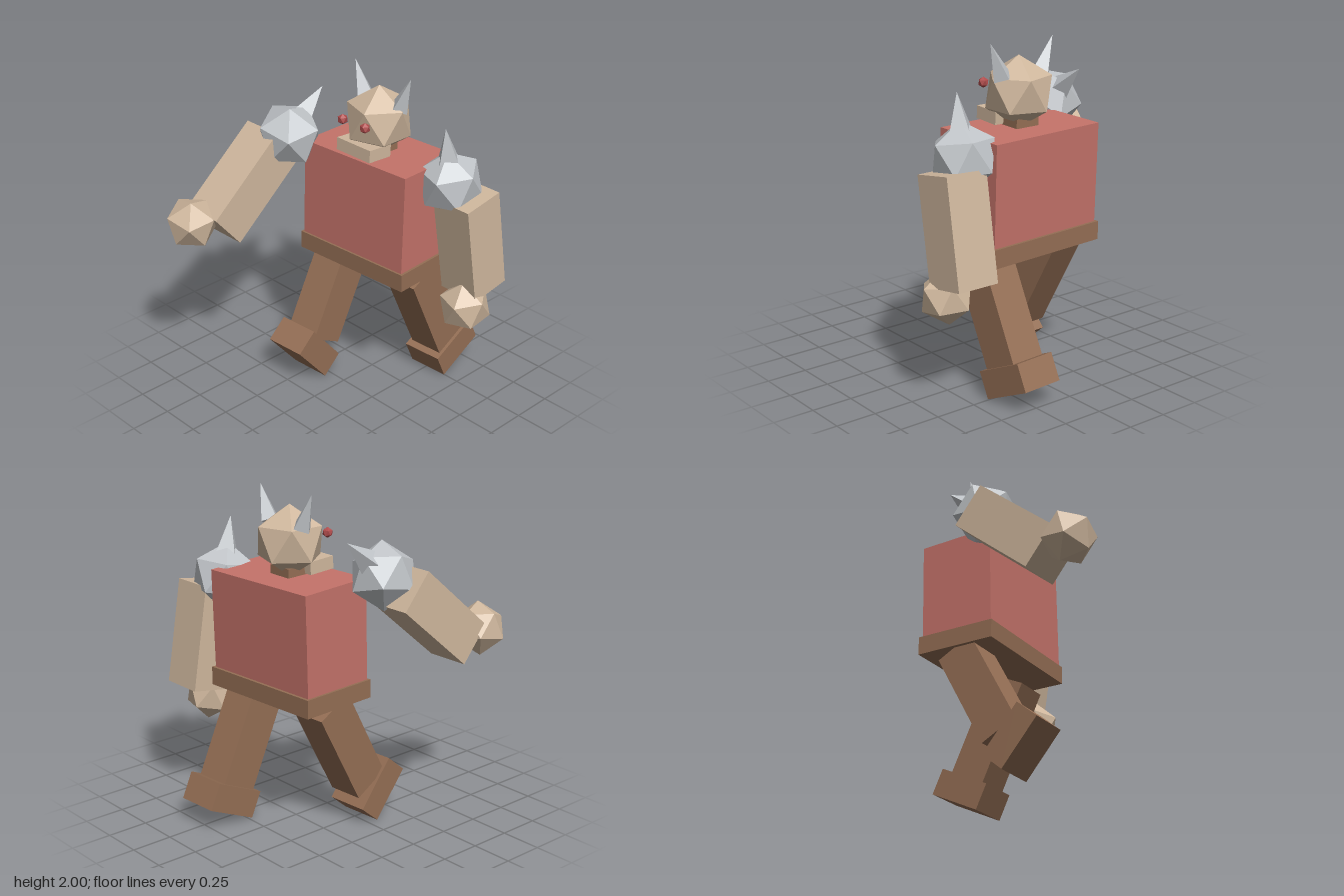
import * as THREE from 'three';

const rad = THREE.MathUtils.degToRad;

const flat = (name, color) => {
  const m = new THREE.MeshStandardMaterial({ color });
  m.name = name;
  return m;
};

// Faceted ball with a vertex at the top and two staggered rings of five
function facetedBall(radius) {
  const v = [0, 1, 0], f = [];
  for (let ring = 0; ring < 2; ring++) {
    for (let k = 0; k < 5; k++) {
      const a = rad(72 * k + 36 * ring);
      v.push(0.894 * Math.cos(a), ring ? -0.447 : 0.447, 0.894 * Math.sin(a));
    }
  }
  v.push(0, -1, 0);
  for (let k = 0; k < 5; k++) {
    const n = (k + 1) % 5;
    const u = 1 + k, un = 1 + n, l = 6 + k, ln = 6 + n;
    f.push(0, un, u, u, un, l, un, ln, l, 11, l, ln);
  }
  return new THREE.PolyhedronGeometry(v, f, radius, 0);
}

export function createModel() {
  const model = new THREE.Group();
  model.name = 'golem';

  const skin = flat('tan skin', 0xd0b89e);
  const red = flat('red tunic', 0xc5736a);
  const brown = flat('brown leather', 0x956f55);
  const metal = flat('grey metal', 0xc2c6ca);
  const eyeRed = flat('dark red eye', 0xb04c4c);

  const add = (parent, name, geometry, material, pos, pitch = 0) => {
    const mesh = new THREE.Mesh(geometry, material);
    mesh.name = name;
    mesh.position.set(...pos);
    mesh.rotation.x = pitch;
    parent.add(mesh);
    return mesh;
  };
  const group = (name, pos, pitch = 0) => {
    const g = new THREE.Group();
    g.name = name;
    g.position.set(...pos);
    g.rotation.x = pitch;
    return g;
  };
  const box = (parent, name, size, material, pos, pitch) =>
    add(parent, name, new THREE.BoxGeometry(...size), material, pos, pitch);
  const ball = (parent, name, radius, material, pos) =>
    add(parent, name, facetedBall(radius), material, pos);

  // Four-sided spike from a base centre to a tip
  const spike = (parent, name, base, tip, radius) => {
    const a = new THREE.Vector3(...base), b = new THREE.Vector3(...tip);
    const dir = b.clone().sub(a);
    const geo = new THREE.ConeGeometry(radius, dir.length(), 4).toNonIndexed();
    geo.computeVertexNormals();
    const mesh = add(parent, name, geo, metal, a.add(b).multiplyScalar(0.5).toArray());
    mesh.quaternion.setFromUnitVectors(new THREE.Vector3(0, 1, 0), dir.normalize());
  };

  // Body, turned slightly
  const body = group('body', [0.005, 0, -0.282]);
  body.rotation.y = rad(3.4);
  model.add(body);
  box(body, 'belt', [0.81, 0.11, 0.5], brown, [0, 0.855, 0]);
  box(body, 'torso', [0.78, 0.61, 0.47], red, [0, 1.205, -0.006], rad(-1.6));

  // Striding legs: hip, swing angle, boot position and boot angle
  const legs = [
    { side: 'left', x: 0.272, z: 0, swing: 25, boot: [0.15, -0.312], tilt: 25 },
    { side: 'right', x: -0.272, z: -0.015, swing: -28.5, boot: [0.185, 0.372], tilt: -50 },
  ];
  for (const { side, x, z, swing, boot, tilt } of legs) {
    const leg = group(side + 'Leg', [x, 0.8, z], rad(swing));
    box(leg, side + 'Shin', [0.22, 0.64, 0.242], brown, [0, -0.32, 0]);
    body.add(leg);
    box(body, side + 'Boot', [0.26, 0.165, 0.345], brown, [x, ...boot], rad(tilt));
  }

  // Swinging arms hung from the spiked shoulders
  const arms = [
    { side: 'left', s: 1, pos: [0.478, 1.42, -0.388], swing: 9.3 },
    { side: 'right', s: -1, pos: [-0.462, 1.54, 0.005], swing: -50 },
  ];
  for (const { side, s, pos, swing } of arms) {
    const arm = group(side + 'Arm', pos, rad(swing));
    ball(arm, side + 'ShoulderGuard', 0.2, metal, [0, 0, 0]);
    spike(arm, side + 'ShoulderSpike', [0, 0.12, 0], [0, 0.355, 0], 0.085);
    box(arm, side + 'Forearm', [0.265, 0.63, 0.268], skin, [s * 0.1, -0.378, -0.017]);
    ball(arm, side + 'Fist', 0.16, skin, [s * 0.137, -0.762, 0.108]);
    model.add(arm);
  }

  // Head with neck, jaw, eyes and horns
  const head = group('head', [0.005, 1.7, -0.278]);
  model.add(head);
  ball(head, 'skull', 0.21, skin, [0, 0, 0]);
  box(head, 'neck', [0.16, 0.12, 0.16], brown, [-0.003, -0.2, 0]);
  box(head, 'jaw', [0.27, 0.075, 0.17], skin, [0, -0.14, 0.123], -0.06);
  for (const [side, s] of [['left', 1], ['right', -1]]) {
    ball(head, side + 'Eye', 0.032, eyeRed, [s * 0.091, 0.03, 0.204]);
    spike(head, side + 'Horn', [s * 0.14, 0.1, -0.027], [s * 0.223, 0.3, -0.027], 0.062);
  }

  return model;
}
